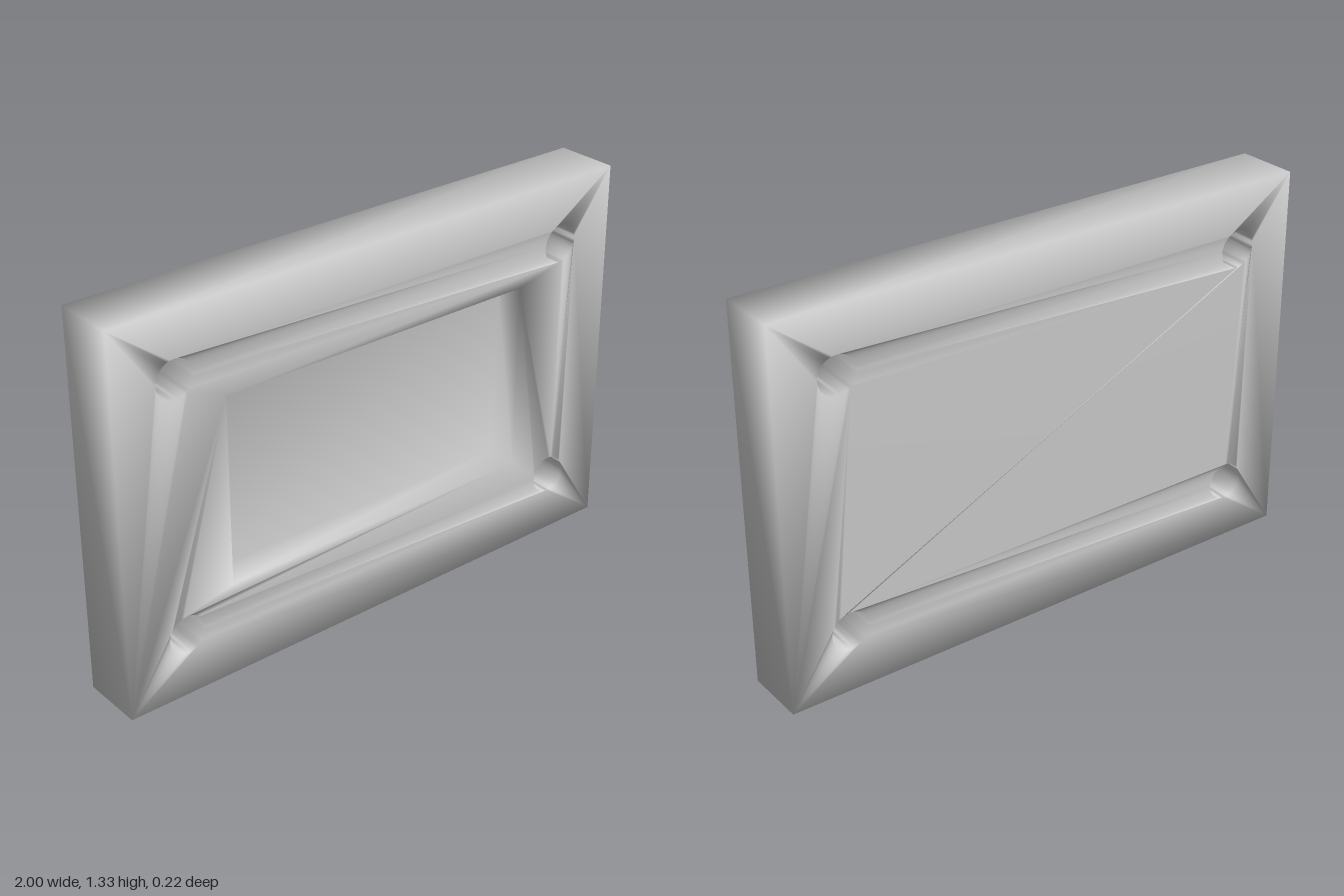
import * as THREE from 'three';
import { mergeGeometries, mergeVertices } from 'three/addons/utils/BufferGeometryUtils.js';

const W = 1, H = 0.667;            // half width and half height of the plate
const FRONT = 0.111, FLOOR = 0;    // front face and pocket floor depth
const BACK = -FRONT;

// Counter-clockwise rectangle about the plate centre
const rectangle = (w, h) => [[-w, -h], [w, -h], [w, h], [-w, h]].map(([x, y]) => new THREE.Vector2(x, y));

// Clockwise circle, so that its wall faces inward
function circle(cx, cy, r, n = 36) {
  return Array.from({ length: n }, (_, i) => {
    const a = (-i / n) * Math.PI * 2;
    return new THREE.Vector2(cx + r * Math.cos(a), cy + r * Math.sin(a));
  });
}

// Flat face at depth z, pierced by the given loops
function face(outline, holes, z) {
  const shape = new THREE.Shape(outline);
  shape.holes = holes.map((points) => new THREE.Path(points));
  return new THREE.ShapeGeometry(shape).translate(0, 0, z);
}

// Straight wall along a closed loop, facing right of the direction of travel
function wall(loop, z0, z1) {
  const position = [], index = [], n = loop.length;
  loop.forEach((p, i) => {
    position.push(p.x, p.y, z0, p.x, p.y, z1);
    const a = 2 * i, b = 2 * ((i + 1) % n);
    index.push(a, b, b + 1, a, b + 1, a + 1);
  });
  const g = new THREE.BufferGeometry();
  g.setAttribute('position', new THREE.Float32BufferAttribute(position, 3));
  g.setIndex(index);
  return g;
}

export function createModel() {
  const outline = rectangle(W, H);
  const pocket = rectangle(0.6, 0.333);
  const pocketRim = [...pocket].reverse();
  const bores = [];
  for (const x of [-0.778, 0.778]) for (const y of [-0.444, 0.444]) bores.push(circle(x, y, 0.067));

  const parts = [
    face(outline, [pocketRim, ...bores], FRONT),              // front rim
    face(pocket, [], FLOOR),                                  // pocket floor
    face(outline, bores, FRONT).rotateY(Math.PI),             // back
    wall(outline, BACK, FRONT),                               // outer sides
    wall(pocketRim, FLOOR, FRONT),                            // pocket sides
    ...bores.map((loop) => wall(loop, BACK, FRONT)),          // corner bolt holes
  ];
  for (const g of parts) {
    g.deleteAttribute('normal');
    g.deleteAttribute('uv');
  }

  // Weld the faces into one body with shared smooth normals
  const body = mergeVertices(mergeGeometries(parts), 1e-4);
  body.computeVertexNormals();

  const plate = new THREE.Mesh(body, new THREE.MeshStandardMaterial({ color: 0xcccccc }));
  plate.name = 'pocketedMountingPlate';
  plate.position.y = H;

  const group = new THREE.Group();
  group.name = 'mountingPlate';
  group.add(plate);
  return group;
}
